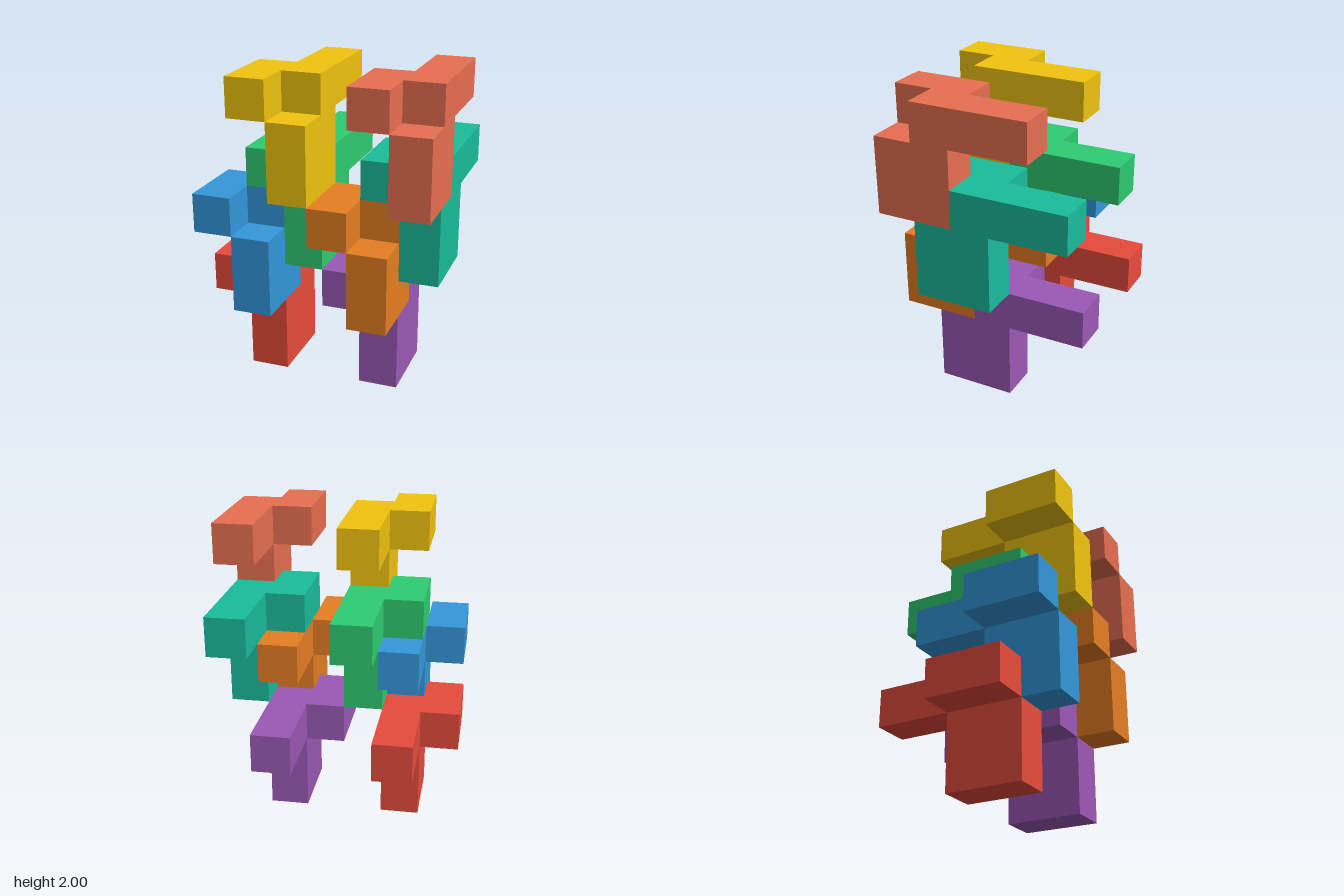
import * as THREE from 'three';
import { mergeGeometries } from 'three/addons/utils/BufferGeometryUtils.js';

const U = 0.25; // edge of one cube cell

// Cells of one puzzle piece [x, y, z]: an upright 2x2 plate under a zigzag top
const CELLS = [
  [0, 0, 0], [0, 1, 0], [0, 0, -1], [0, 1, -1],
  [0, 2, -1], [0, 2, -2], [0, 2, -3],
  [-1, 2, 0], [-1, 2, -1],
];

const DIRECTIONS = [[1, 0, 0], [-1, 0, 0], [0, 1, 0], [0, -1, 0], [0, 0, 1], [0, 0, -1]];

// Outer skin of the joined cells: faces between neighbours are left out
function pieceGeometry() {
  const filled = new Set(CELLS.map(String));
  const front = new THREE.Vector3(0, 0, 1);
  const faces = [];
  for (const cell of CELLS) {
    for (const dir of DIRECTIONS) {
      if (filled.has(String(cell.map((c, i) => c + dir[i])))) continue;
      const normal = new THREE.Vector3(...dir);
      const turn = new THREE.Quaternion().setFromUnitVectors(front, normal);
      const centre = new THREE.Vector3(...cell).addScalar(0.5).addScaledVector(normal, 0.5);
      const face = new THREE.PlaneGeometry(U, U).applyQuaternion(turn);
      faces.push(face.translate(centre.x * U, centre.y * U, centre.z * U));
    }
  }
  return mergeGeometries(faces);
}

// Two interlocking stacks, four pieces each, from bottom to top
const STEPS = [
  { x: 0.25, y: 0, z: 0.125 },
  { x: 0.25, y: 0.5, z: 0.375 },
  { x: 0.5, y: 0.75, z: 0.125 },
  { x: 0.5, y: 1.25, z: 0.375 },
];
const STACKS = [
  { offset: 0, pieces: [['purplePiece', 0x9b59b6], ['orangePiece', 0xe67e22], ['tealPiece', 0x1abc9c], ['coralPiece', 0xe76f51]] },
  { offset: -0.75, pieces: [['redPiece', 0xe74c3c], ['bluePiece', 0x3498db], ['greenPiece', 0x2ecc71], ['yellowPiece', 0xf1c40f]] },
];

export function createModel() {
  const model = new THREE.Group();
  model.name = 'interlockingPieces';
  const geometry = pieceGeometry();
  for (const { offset, pieces } of STACKS) {
    pieces.forEach(([name, color], i) => {
      const mesh = new THREE.Mesh(geometry, new THREE.MeshStandardMaterial({ color }));
      mesh.name = name;
      mesh.position.set(STEPS[i].x + offset, STEPS[i].y, STEPS[i].z);
      model.add(mesh);
    });
  }
  return model;
}
